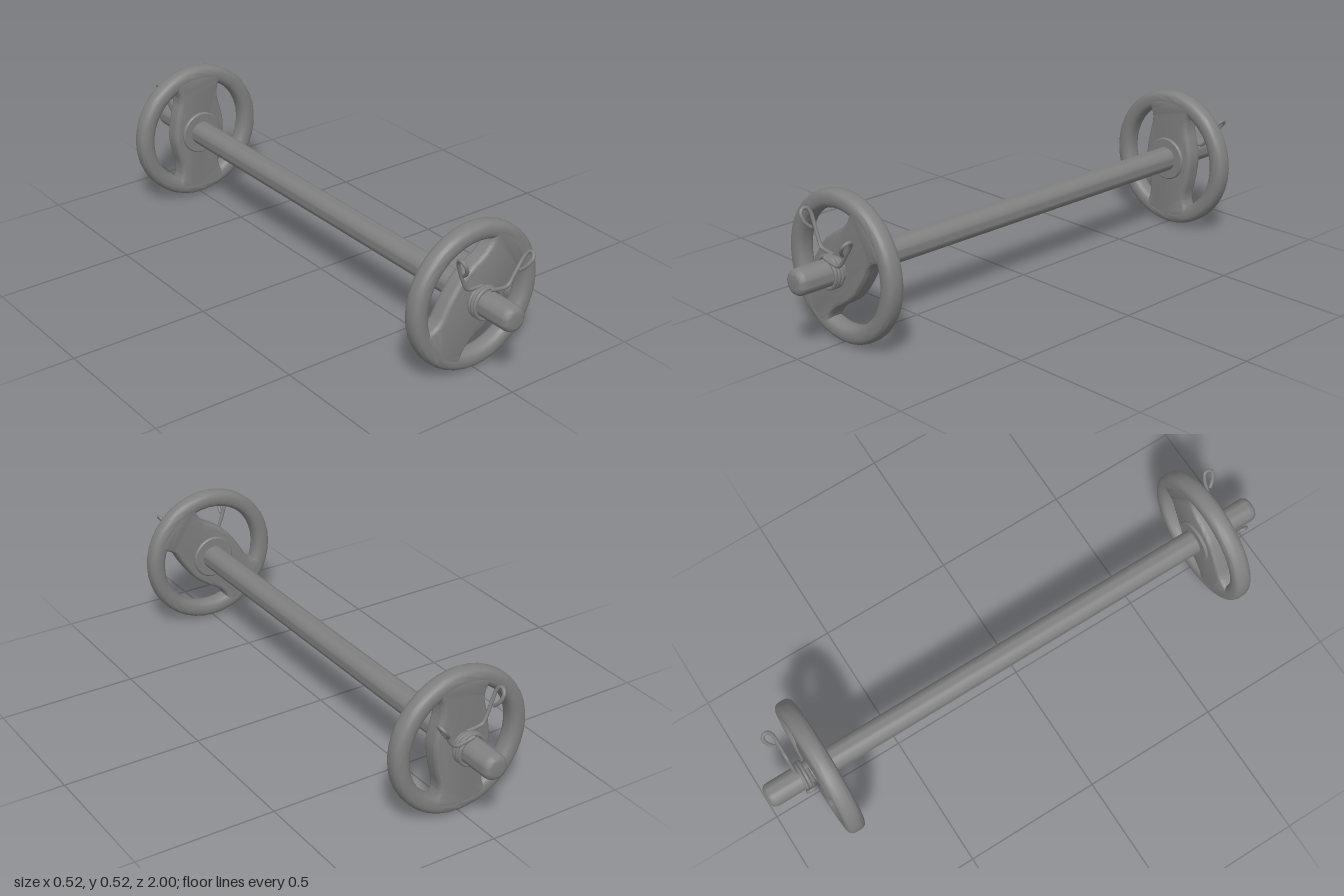
import * as THREE from 'three';
import { toCreasedNormals } from 'three/addons/utils/BufferGeometryUtils.js';

const AXIS_Y = 0.26;
const iron = new THREE.MeshStandardMaterial({ color: 0x808080 });

function part(name, geometry) {
  const mesh = new THREE.Mesh(geometry, iron);
  mesh.name = name;
  return mesh;
}

// Solid of revolution about the z axis
function turned(profile, segments) {
  const points = profile.map(([r, h]) => new THREE.Vector2(r, h));
  const geometry = new THREE.LatheGeometry(points, segments).rotateX(Math.PI / 2);
  return toCreasedNormals(geometry, 0.7);
}

// Curved grip opening: a wavy web edge closed by an arc hidden in the rim
function gripHole(turn) {
  const edge = [
    [0.06, 0.196], [0.056, 0.185], [0.046, 0.169], [0.02, 0.144], [-0.023, 0.118],
    [-0.068, 0.084], [-0.107, 0.034], [-0.13, -0.002], [-0.15, -0.036],
    [-0.17, -0.056], [-0.194, -0.066],
  ].map(([x, y]) => new THREE.Vector2(x, y));
  const points = new THREE.SplineCurve(edge).getPoints(40);
  const from = edge[10].angle(), to = edge[0].angle();
  for (let i = 1; i < 24; i++) {
    const a = from + (to - from) * i / 24;
    points.push(new THREE.Vector2(Math.cos(a), Math.sin(a)).multiplyScalar(0.205));
  }
  const centre = new THREE.Vector2();
  return new THREE.Path(points.map((p) => p.rotateAround(centre, turn)));
}

// Weight plate facing +z, centred on its own axis
function createPlate() {
  const plate = new THREE.Group();
  plate.name = 'weightPlate';

  // Rounded rim
  const section = [];
  for (let i = 0; i <= 24; i++) {
    const a = i / 24 * Math.PI * 2, c = Math.cos(a), s = Math.sin(a);
    section.push([
      0.227 + 0.031 * Math.sign(c) * Math.abs(c) ** 0.75,
      0.034 * Math.sign(s) * Math.abs(s) ** 0.75,
    ]);
  }
  plate.add(part('rim', turned(section, 40)));

  // Web with two openings, its faces running flush into the crown of the rim
  const disc = new THREE.Shape();
  disc.absarc(0, 0, 0.241, 0, Math.PI * 2);
  disc.holes.push(gripHole(0), gripHole(Math.PI));
  const bevelSize = 0.014, bevelThickness = 0.016, depth = 0.035;
  const web = new THREE.ExtrudeGeometry(disc, {
    depth, curveSegments: 40, bevelEnabled: true,
    bevelThickness, bevelSize, bevelOffset: -bevelSize, bevelSegments: 6,
  });
  web.translate(0, 0, -depth / 2);
  plate.add(part('web', toCreasedNormals(web, 0.7)));
  return plate;
}

// Spring clip: a coil with two folded handles
function createClip() {
  const clip = new THREE.Group();
  clip.name = 'springClip';
  const wire = 0.0065, radius = 0.052, turns = 3, z0 = 0.838, z1 = 0.876;
  const coil = [];
  const steps = turns * 20;
  for (let i = 0; i <= steps; i++) {
    const t = i / steps, a = Math.PI / 2 + t * turns * Math.PI * 2;
    coil.push(new THREE.Vector3(radius * Math.cos(a), radius * Math.sin(a), z0 + (z1 - z0) * t));
  }
  const tube = (points, segments) => new THREE.TubeGeometry(
    new THREE.CatmullRomCurve3(points, false, 'centripetal'), segments, wire, 8);
  clip.add(part('coil', tube(coil, 100)));

  const handles = {
    upperHandle: [
      [0, 0.052, z0], [-0.035, 0.054, z0], [-0.06, 0.059, z0], [-0.069, 0.069, z0],
      [-0.091, 0.122, z0], [-0.106, 0.168, 0.842], [-0.112, 0.184, 0.853],
      [-0.113, 0.185, 0.867], [-0.108, 0.172, 0.879], [-0.098, 0.145, 0.874], [-0.092, 0.125, 0.855],
    ],
    lowerHandle: [
      [0, 0.052, z1], [0.035, 0.045, z1], [0.065, 0.042, z1], [0.08, 0.049, z1],
      [0.105, 0.084, z1], [0.138, 0.131, 0.879], [0.149, 0.147, 0.888],
      [0.15, 0.148, 0.902], [0.143, 0.138, 0.913], [0.124, 0.112, 0.906], [0.112, 0.095, 0.89],
    ],
  };
  for (const [name, points] of Object.entries(handles)) {
    const path = points.map((p) => new THREE.Vector3(...p));
    clip.add(part(name, tube(path, 60)));
    // Rounded wire tip
    const tip = part(name + 'Tip', new THREE.SphereGeometry(wire, 8, 6));
    tip.position.copy(path[path.length - 1]);
    clip.add(tip);
  }
  return clip;
}

export function createModel() {
  const model = new THREE.Group();
  model.name = 'barbell';
  const assembly = new THREE.Group();
  assembly.name = 'barAssembly';
  assembly.position.y = AXIS_Y;
  model.add(assembly);

  // Bar with rounded ends
  const end = [[0, 1], [0.025, 1], [0.031, 0.999], [0.038, 0.995], [0.043, 0.987], [0.045, 0.975]];
  const profile = [...end.map(([r, z]) => [r, -z]), ...end.slice().reverse()];
  assembly.add(part('bar', turned(profile, 32)));

  for (const side of [1, -1]) {
    const half = new THREE.Group();
    half.name = side > 0 ? 'frontWeight' : 'backWeight';
    half.rotation.y = side > 0 ? 0 : Math.PI;

    const plate = createPlate();
    plate.position.z = 0.793;
    plate.rotation.z = side > 0 ? 0 : THREE.MathUtils.degToRad(44);
    half.add(plate);

    // Stop collar on the inner face
    half.add(part('collar', turned(
      [[0, 0.75], [0.076, 0.75], [0.08, 0.754], [0.08, 0.78], [0, 0.78]], 32)));
    assembly.add(half);

    const clip = createClip();
    clip.scale.z = side;
    assembly.add(clip);
  }
  return model;
}
